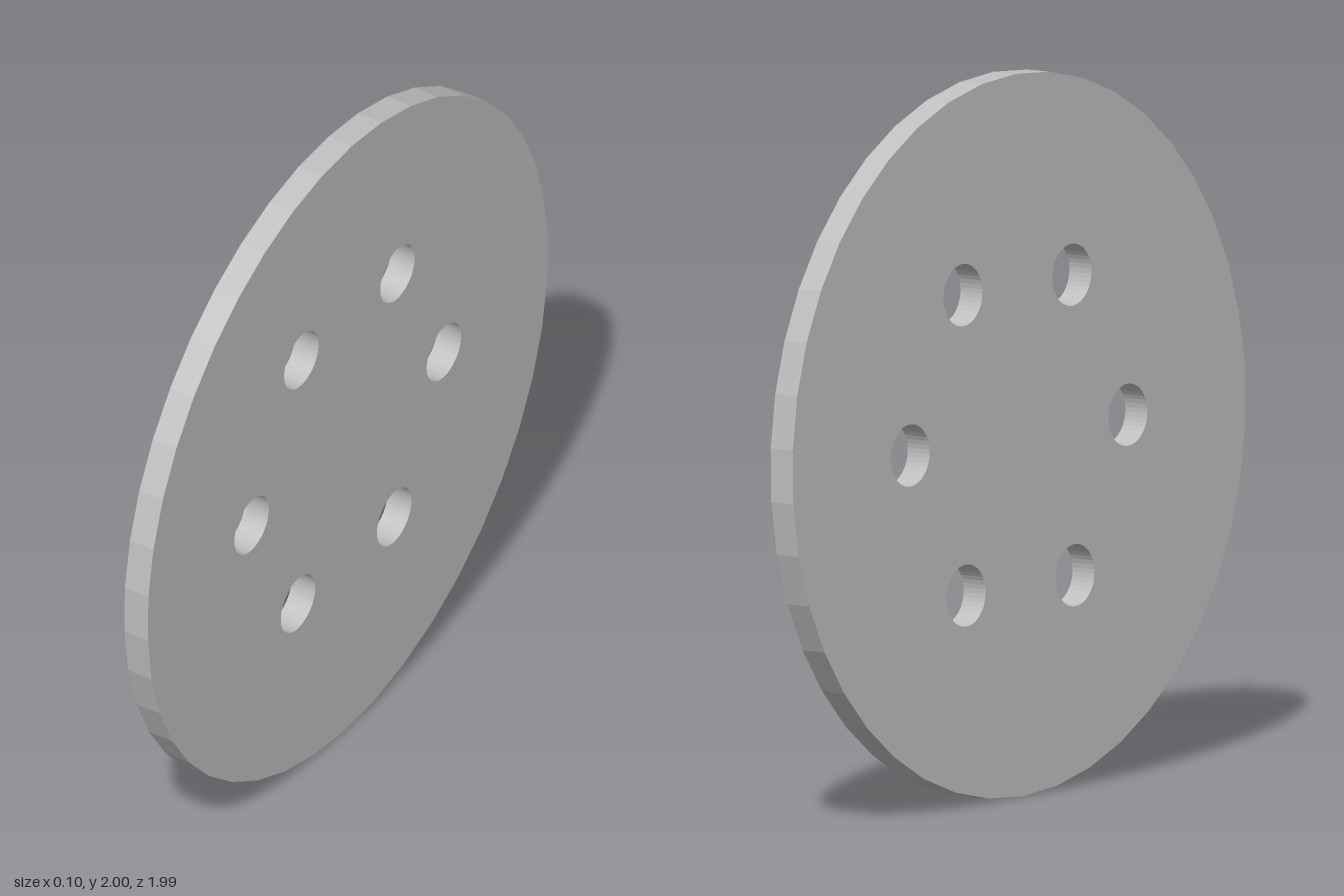
import * as THREE from 'three';

const RADIUS = 0.9995, THICKNESS = 0.077, TILT = 0.0132;

// Points of a regular polygon standing on a vertex
function ring(cx, cy, radius, sides) {
  return Array.from({ length: sides }, (_, i) => {
    const a = Math.PI / 2 + (i / sides) * Math.PI * 2;
    return new THREE.Vector2(cx + radius * Math.cos(a), cy + radius * Math.sin(a));
  });
}

export function createModel() {
  const group = new THREE.Group();
  group.name = 'perforatedDisc';
  const grey = new THREE.MeshStandardMaterial({ color: 0xc0c0c0, flatShading: true });
  grey.name = 'light grey';

  // Round plate with six bolt holes
  const outline = new THREE.Shape(ring(0, 0, RADIUS, 42));
  for (let i = 0; i < 6; i++) {
    const a = (i * Math.PI) / 3;
    outline.holes.push(new THREE.Path(ring(0.48 * Math.cos(a), 0.48 * Math.sin(a), 0.086, 42)));
  }
  const geometry = new THREE.ExtrudeGeometry(outline, { depth: THICKNESS, bevelEnabled: false });

  // Face the plate sideways, leaning slightly towards +x at the top
  geometry.translate(0, 0, -THICKNESS / 2).rotateY(Math.PI / 2).rotateZ(-TILT).translate(0, 1, 0);

  const disc = new THREE.Mesh(geometry, grey);
  disc.name = 'disc';
  group.add(disc);
  return group;
}
